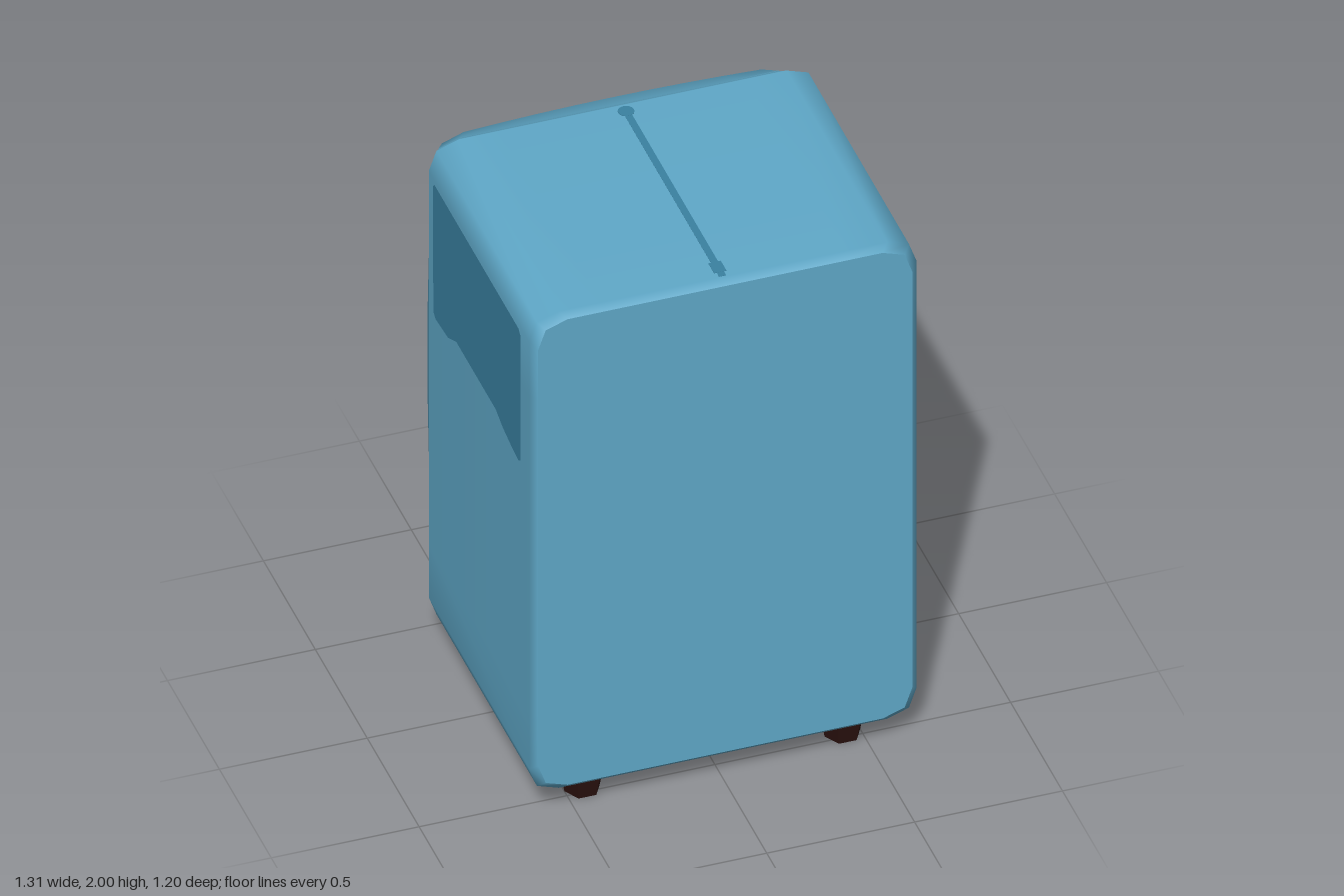
import * as THREE from 'three';

const mat = (name, color, extra = {}) => {
  const m = new THREE.MeshStandardMaterial({ color, ...extra });
  m.name = name;
  return m;
};

// Outline of a soft-cornered rectangle, counter-clockwise, with subdivided edges
function outline(w, h, cy, c, cut, steps = 8) {
  const quarter = [[w, h - c], [w - cut, h - cut], [w - c, h]];
  const flip = (p, sx, sy) => p.map(([x, y]) => [x * sx, y * sy]);
  const corners = [
    ...quarter,
    ...flip(quarter, -1, 1).reverse(),
    ...flip(quarter, -1, -1),
    ...flip(quarter, 1, -1).reverse(),
  ];
  const pts = [];
  corners.forEach((p, i) => {
    const q = corners[(i + 1) % corners.length];
    const n = i % 3 === 2 ? steps : 1;
    for (let k = 0; k < n; k++) {
      pts.push(new THREE.Vector2(p[0] + (q[0] - p[0]) * k / n, cy + p[1] + (q[1] - p[1]) * k / n));
    }
  });
  return pts;
}

const W = 0.655, H = 0.95, CY = 1.05;
const shell = inset => outline(W - inset, H - inset, CY, 0.1, 0.026);
const atZ = (pts, z) => pts.map(p => new THREE.Vector3(p.x, p.y, typeof z === 'function' ? z(p.x, p.y) : z));

// Skin between successive closed rings
function loft(rings) {
  const n = rings[0].length, pos = [], idx = [];
  rings.forEach(r => r.forEach(p => pos.push(p.x, p.y, p.z)));
  for (let r = 0; r < rings.length - 1; r++) {
    for (let i = 0; i < n; i++) {
      const a = r * n + i, b = r * n + (i + 1) % n;
      idx.push(a, a + n, b, b, a + n, b + n);
    }
  }
  const g = new THREE.BufferGeometry();
  g.setAttribute('position', new THREE.Float32BufferAttribute(pos, 3));
  g.setIndex(idx);
  g.computeVertexNormals();
  return g;
}

// Flat cap facing +z, or -z when back is true
function cap(pts, z, back = false) {
  const g = new THREE.ShapeGeometry(new THREE.Shape(pts));
  if (back) g.rotateY(Math.PI);
  return g.translate(0, 0, z);
}

export function createModel() {
  const model = new THREE.Group();
  const blue = mat('body blue', 0x5fa8c8);
  const deep = mat('panel blue', 0x3a81a1);
  const glass = mat('window blue', 0x6888c4);
  const rubber = mat('foot brown', 0x2a110e, { flatShading: true });

  const add = (parent, name, geometry, material) => {
    const m = new THREE.Mesh(geometry, material);
    m.name = name;
    parent.add(m);
    return m;
  };
  const group = name => {
    const g = new THREE.Group();
    g.name = name;
    model.add(g);
    return g;
  };

  // Main housing with small bevels front and back
  const body = group('body');
  add(body, 'bodyShell', loft([
    atZ(shell(0.022), 0.6), atZ(shell(0), 0.578), atZ(shell(0), -0.39), atZ(shell(0.02), -0.42),
  ]), blue);
  add(body, 'bodyFront', cap(shell(0.022), 0.6), blue);
  add(body, 'bodyBack', cap(shell(0.02), -0.42, true), blue);

  // Bulged back cover with a window opening
  const bulge = (x, y) => -0.607 + 0.08 * ((y - CY) / H) ** 2 + 0.025 * (x / 0.6) ** 2;
  const opening = outline(0.285, 0.47, 1.08, 0.085, 0.025);
  const rim = shell(0.1);
  const rings = [
    atZ(shell(0.02), -0.425),
    atZ(shell(0.052), (x, y) => bulge(x, y) + 0.03),
  ];
  for (let k = 0; k <= 5; k++) {
    rings.push(atZ(rim.map((p, i) => p.clone().lerp(opening[i], k / 5)), bulge));
  }
  const cover = group('backCover');
  add(cover, 'coverShell', loft(rings), blue);
  add(cover, 'coverInnerFace', cap(shell(0.02), -0.425), blue);

  // Recessed window
  const inner = outline(0.27, 0.455, 1.08, 0.08, 0.023);
  add(cover, 'windowFrame', loft([atZ(opening, bulge), atZ(inner, -0.55)]), blue);
  add(cover, 'windowPane', cap(inner, -0.551, true), glass);

  // Dark side panels with a raised lower edge in the middle
  const panel = new THREE.Shape([
    [-0.5, 1.375], [-0.48, 1.36], [-0.41, 1.37], [-0.33, 1.385], [-0.26, 1.41], [0.12, 1.41],
    [0.2, 1.37], [0.32, 1.36], [0.34, 1.375], [0.345, 1.87], [0.33, 1.887], [-0.48, 1.887], [-0.5, 1.87],
  ].map(([x, y]) => new THREE.Vector2(x, y)));
  for (const s of [1, -1]) {
    // Mirror the outline for the opposite side so the front stays the front
    const shape = s > 0 ? panel : new THREE.Shape(panel.getPoints().map(p => new THREE.Vector2(-p.x, p.y)).reverse());
    const g = new THREE.ShapeGeometry(shape).rotateY(s * Math.PI / 2).translate(s * (W + 0.002), 0, 0);
    add(model, s > 0 ? 'leftPanel' : 'rightPanel', g, deep);
  }

  // Thin centre line on the top, with a round end and a small tab
  const line = group('topLine');
  add(line, 'lineStrip', new THREE.BoxGeometry(0.024, 0.002, 0.95), deep).position.set(0, 2, 0.1);
  add(line, 'lineDot', new THREE.CylinderGeometry(0.027, 0.027, 0.002, 16), deep).position.set(0, 2.0005, -0.355);
  add(line, 'lineTab', new THREE.BoxGeometry(0.042, 0.002, 0.055), deep).position.set(0, 2.0005, 0.525);

  // Four tapered six-sided feet
  for (const x of [-0.44, 0.44]) {
    for (const z of [0.475, -0.29]) {
      const g = new THREE.CylinderGeometry(0.081, 0.06, 0.11, 6).rotateY(Math.PI / 2);
      add(model, 'foot', g, rubber).position.set(x, 0.055, z);
    }
  }
  return model;
}
